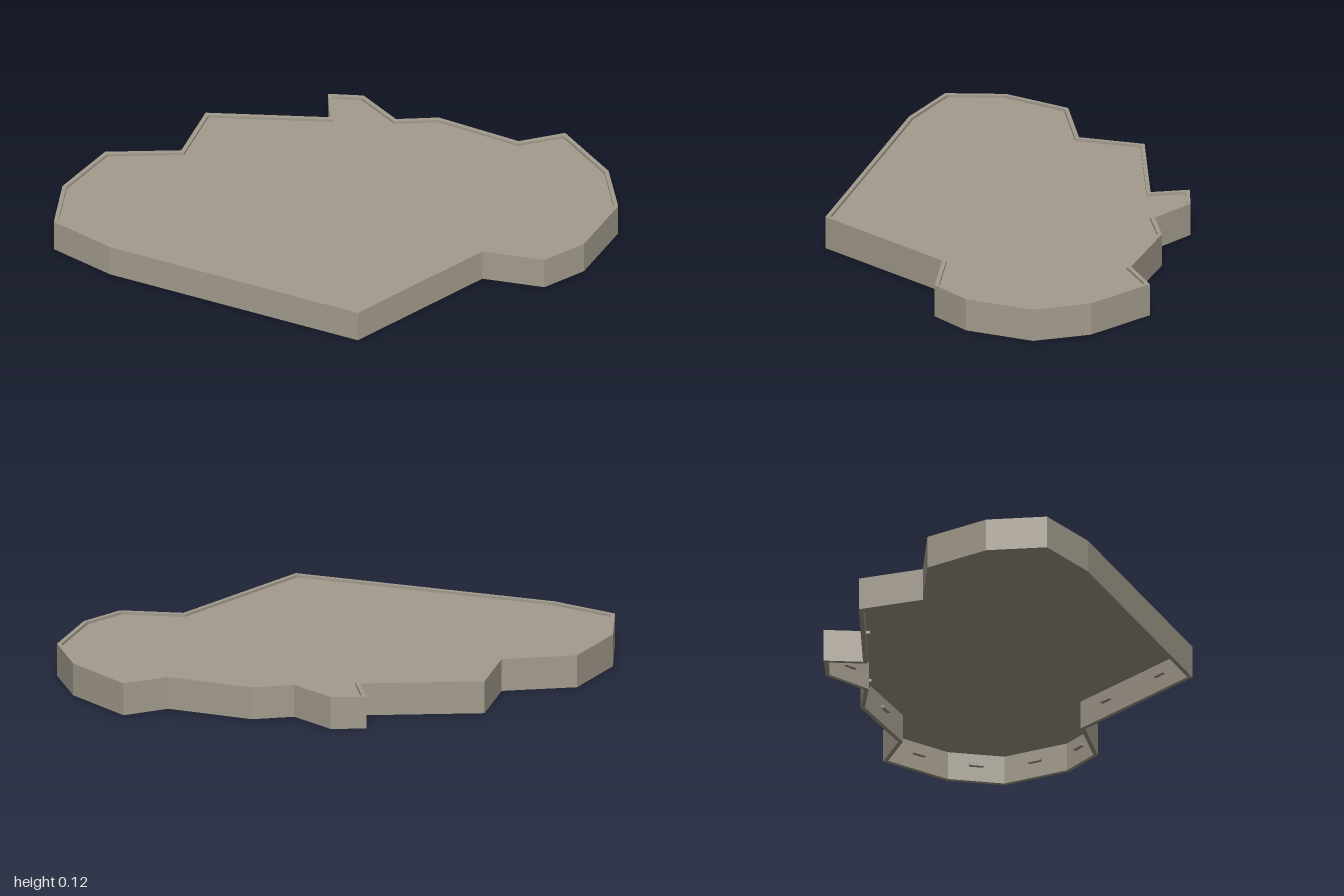
import * as THREE from 'three';

const HEIGHT = 0.12, WALL = 0.015;

// Plan outline as [x, z], running left, front, right, back
const OUTLINE = [
  [-1, 0.115], [-0.8, 0.265], [0.08, 0.655], [0.52, 0.285], [0.74, 0.335],
  [0.88, 0.238], [1, 0.012], [0.965, -0.198], [0.81, -0.425], [0.645, -0.375],
  [0.362, -0.515], [0.21, -0.505], [0.095, -0.645], [-0.032, -0.655], [-0.025, -0.515],
  [-0.465, -0.54], [-0.55, -0.315], [-0.82, -0.305], [-0.97, -0.1],
].map(([x, z]) => new THREE.Vector2(x, -z));

const inwardNormal = (a, b) => {
  const d = b.clone().sub(a).normalize();
  return new THREE.Vector2(-d.y, d.x);
};

// Move every edge inwards by the same distance, with mitred corners
function inset(points, distance) {
  const n = points.length;
  return points.map((p, i) => {
    const n1 = inwardNormal(points[(i + n - 1) % n], p);
    const n2 = inwardNormal(p, points[(i + 1) % n]);
    return n1.clone().add(n2).multiplyScalar(distance / (1 + n1.dot(n2))).add(p);
  });
}

// Extrude a plan shape upwards from height y
function slab(shape, y, depth) {
  const g = new THREE.ExtrudeGeometry(shape, { depth, bevelEnabled: false });
  return g.rotateX(-Math.PI / 2).translate(0, y, 0);
}

export function createModel() {
  const group = new THREE.Group();
  const stone = new THREE.MeshStandardMaterial({ name: 'warm grey', color: 0xa39b8d });
  const add = (name, geometry, parent = group) => {
    const mesh = new THREE.Mesh(geometry, stone);
    mesh.name = name;
    parent.add(mesh);
    return mesh;
  };

  // Outer wall, open underneath and rising slightly above the deck as a rim
  const inner = inset(OUTLINE, WALL);
  const ring = new THREE.Shape(OUTLINE);
  ring.holes.push(new THREE.Path(inner));
  add('wall', slab(ring, 0, HEIGHT));

  // Recessed deck
  add('deck', slab(new THREE.Shape(inner), 0.105, 0.005));

  // Small tabs spaced along the inside of each wall
  const tabs = new THREE.Group();
  tabs.name = 'innerTabs';
  group.add(tabs);
  const tabGeometry = new THREE.BoxGeometry(0.05, 0.01, 0.016);
  inner.forEach((a, i) => {
    const b = inner[(i + 1) % inner.length];
    const count = Math.max(1, Math.round(a.distanceTo(b) / 0.24));
    const normal = inwardNormal(a, b);
    for (let k = 0; k < count; k++) {
      const p = a.clone().lerp(b, (k + 0.5) / count).addScaledVector(normal, 0.006);
      const tab = add('tab', tabGeometry, tabs);
      tab.position.set(p.x, 0.06, -p.y);
      tab.rotation.y = Math.atan2(b.y - a.y, b.x - a.x);
    }
  });

  return group;
}
